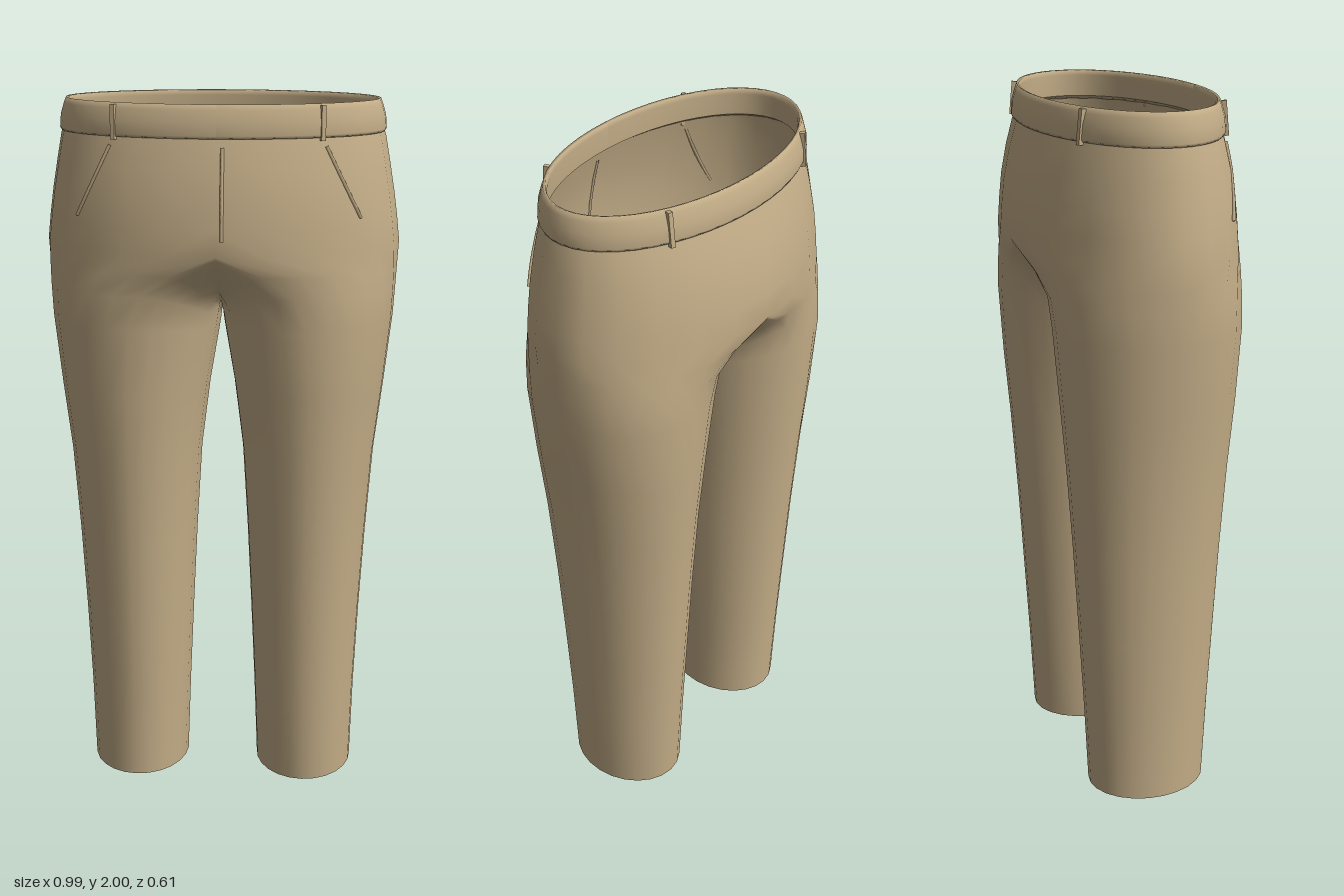
import * as THREE from 'three';
import { mergeVertices } from 'three/addons/utils/BufferGeometryUtils.js';

const HALF = 12; // segments around half a cross-section

// hip ellipses: height, half width, half depth
const hips = [
  [1.94, 0.436, 0.245], [1.9, 0.45, 0.257], [1.83, 0.463, 0.277],
  [1.75, 0.477, 0.293], [1.68, 0.487, 0.3], [1.61, 0.495, 0.305],
];
// leg sections: height, centre x, outer radius, inner radius, half depth, dip of the inner edge
const legs = [
  [1.61, 0, 0.495, 0, 0.305, 0.17],
  [1.55, 0.13, 0.362, 0.13, 0.28, 0.13],
  [1.49, 0.21, 0.279, 0.208, 0.265, 0.09],
  [1.4, 0.24, 0.244, 0.234, 0.261, 0.03],
  [1.2, 0.25, 0.213, 0.215, 0.248, 0],
  [1.0, 0.25, 0.19, 0.19, 0.232, 0],
  [0.75, 0.25, 0.173, 0.175, 0.215, 0],
  [0.5, 0.25, 0.16, 0.163, 0.201, 0],
  [0.25, 0.25, 0.15, 0.152, 0.187, 0],
  [0, 0.25, 0.144, 0.143, 0.175, 0],
];

// front surface depth of the hips at a given x and y
function hipZ(x, y) {
  let i = 0;
  while (i < hips.length - 2 && y < hips[i + 1][0]) i++;
  const [a, b] = [hips[i], hips[i + 1]];
  const k = (a[0] - y) / (a[0] - b[0]);
  const w = a[1] + (b[1] - a[1]) * k, d = a[2] + (b[2] - a[2]) * k;
  return d * Math.sqrt(1 - (x / w) ** 2);
}

// joins hips and both legs into one smooth skin, mirrored across x = 0
function trouserGeometry() {
  const pos = [], index = [];
  const loft = (rings, count, side) => {
    const start = pos.length / 3;
    for (const [y, c, ro, ri, d, dip] of rings) {
      for (let i = 0; i <= count; i++) {
        const t = ((i % (2 * HALF)) * Math.PI) / HALF;
        const inner = i > HALF;
        const s = i % HALF === 0 ? 0 : Math.sin(t);
        pos.push(side * (c + (inner ? ri : ro) * s), y - (inner ? dip * s * s : 0), d * Math.cos(t));
      }
    }
    for (let j = 0; j < rings.length - 1; j++) {
      for (let i = 0; i < count; i++) {
        const a = start + j * (count + 1) + i, b = a + 1, e = a + count + 1, f = e + 1;
        if (side > 0) index.push(a, e, f, a, f, b);
        else index.push(a, f, e, a, b, f);
      }
    }
  };
  for (const side of [1, -1]) {
    loft(hips.map(([y, w, d]) => [y, 0, w, 0, d, 0]), HALF, side);
    loft(legs, 2 * HALF, side);
  }
  let g = new THREE.BufferGeometry();
  g.setAttribute('position', new THREE.Float32BufferAttribute(pos, 3));
  g.setIndex(index);
  g = mergeVertices(g, 1e-4);
  g.computeVertexNormals();
  return g;
}

// closed band swept around the waist ellipse
function waistbandGeometry() {
  const profile = [
    [-0.012, 1.925], [0.008, 1.912], [0.012, 1.92], [0.009, 1.955], [0, 1.985],
    [-0.006, 2], [-0.013, 1.998], [-0.016, 1.985], [-0.012, 1.925],
  ];
  const g = new THREE.LatheGeometry(profile.map(([r, y]) => new THREE.Vector2(1 + r, y)), 48);
  const p = g.attributes.position;
  for (let i = 0; i < p.count; i++) {
    const x = p.getX(i), z = p.getZ(i), r = Math.hypot(x, z);
    p.setX(i, (x / r) * (0.439 + r - 1));
    p.setZ(i, (z / r) * (0.248 + r - 1));
  }
  g.computeVertexNormals();
  return g;
}

export function createModel() {
  const root = new THREE.Group();
  root.name = 'trousers';
  const cloth = new THREE.MeshStandardMaterial({ color: 0xc4ae88, side: THREE.DoubleSide });
  cloth.name = 'khaki cloth';
  const add = (name, geometry) => {
    const mesh = new THREE.Mesh(geometry, cloth);
    mesh.name = name;
    root.add(mesh);
    return mesh;
  };

  add('hipsAndLegs', trouserGeometry());
  add('waistband', waistbandGeometry());

  // raised seam following the hip surface
  const seam = (name, x0, y0, x1, y1) => {
    const points = [];
    for (let i = 0; i <= 6; i++) {
      const x = x0 + ((x1 - x0) * i) / 6, y = y0 + ((y1 - y0) * i) / 6;
      points.push(new THREE.Vector3(x, y, hipZ(x, y)));
    }
    add(name, new THREE.TubeGeometry(new THREE.CatmullRomCurve3(points), 12, 0.005, 6));
  };
  seam('flySeam', 0.016, 1.89, 0.016, 1.65);

  for (const side of [1, -1]) {
    seam(side > 0 ? 'leftPocketSeam' : 'rightPocketSeam', side * 0.288, 1.89, side * 0.383, 1.7);

    // belt loops, front and back
    for (const face of [1, -1]) {
      const loop = add(face > 0 ? 'frontBeltLoop' : 'backBeltLoop', new THREE.BoxGeometry(0.012, 0.092, 0.016));
      loop.position.set(side * 0.277, 1.95, face * 0.2);
      loop.rotation.set(face * -0.1, side * face * 0.35, 0);
    }
  }
  return root;
}
